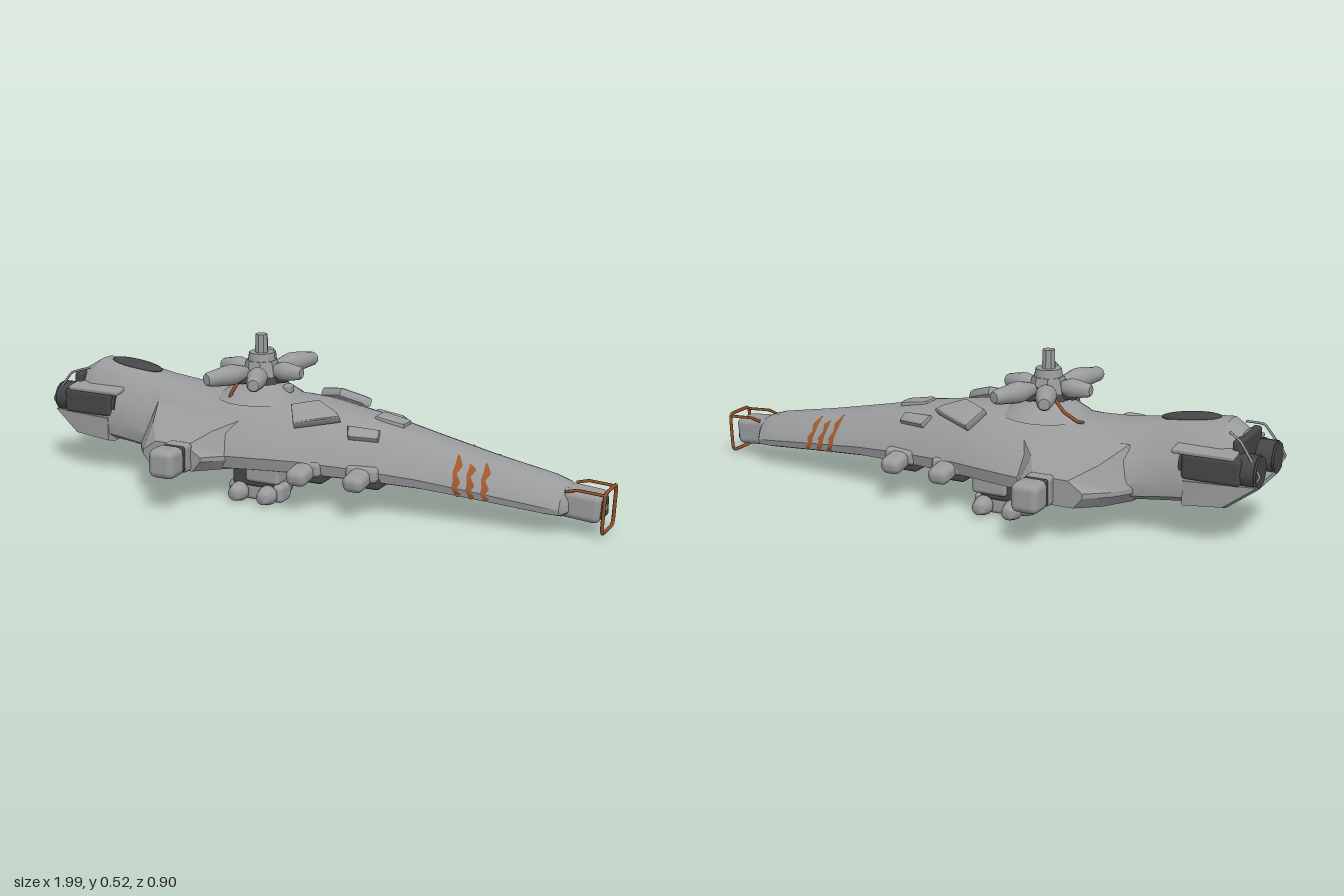
import * as THREE from 'three';
import { toCreasedNormals } from 'three/addons/utils/BufferGeometryUtils.js';
import { RoundedBoxGeometry } from 'three/addons/geometries/RoundedBoxGeometry.js';

const material = (name, color, side = THREE.FrontSide) => {
  const m = new THREE.MeshStandardMaterial({ color, side });
  m.name = name;
  return m;
};
const V = (x, y, z) => new THREE.Vector3(x, y, z);

// Closed skin through rings that run counter-clockwise about the loft direction
function loft(rings, crease = 0.5) {
  const pos = [], put = (...ps) => ps.forEach(p => pos.push(p.x, p.y, p.z));
  const n = rings[0].length;
  for (let i = 0; i < rings.length - 1; i++) for (let j = 0; j < n; j++) {
    const k = (j + 1) % n;
    put(rings[i][j], rings[i][k], rings[i + 1][k], rings[i][j], rings[i + 1][k], rings[i + 1][j]);
  }
  [rings[0], rings[rings.length - 1]].forEach((r, end) => {
    const c = r.reduce((a, p) => a.add(p), V(0, 0, 0)).divideScalar(n);
    for (let j = 0; j < n; j++) {
      const k = (j + 1) % n;
      end ? put(c, r[j], r[k]) : put(c, r[k], r[j]);
    }
  });
  const g = new THREE.BufferGeometry();
  g.setAttribute('position', new THREE.Float32BufferAttribute(pos, 3));
  return toCreasedNormals(g, crease);
}

// Hull stations: x, half width, top, bottom
const stations = [
  [-0.91, 0.125, 0.345, 0.14], [-0.86, 0.145, 0.375, 0.12], [-0.72, 0.15, 0.365, 0.11],
  [-0.6, 0.165, 0.34, 0.1], [-0.5, 0.215, 0.325, 0.085], [-0.4, 0.24, 0.32, 0.085],
  [-0.24, 0.245, 0.325, 0.09], [-0.1, 0.238, 0.325, 0.1], [0, 0.215, 0.322, 0.1],
  [0.2, 0.18, 0.292, 0.1], [0.4, 0.145, 0.25, 0.095], [0.6, 0.118, 0.21, 0.08],
  [0.8, 0.1, 0.175, 0.065], [0.85, 0.086, 0.16, 0.062], [0.87, 0.055, 0.145, 0.07]];
// Half cross-section: fraction of half width, fraction of height
const section = [[0, 1], [0.25, 0.99], [0.47, 0.92], [0.85, 0.6], [1, 0.3], [0.96, 0.12], [0.7, 0.03], [0.35, 0], [0, 0]];

// Point on the hull at x, t steps down the section, on side s
function hullPoint(x, t, s, grow = 1) {
  let i = 0;
  while (i < stations.length - 2 && stations[i + 1][0] < x) i++;
  const a = stations[i], b = stations[i + 1], u = (x - a[0]) / (b[0] - a[0]);
  const [, w, top, low] = a.map((v, k) => v + (b[k] - v) * u);
  const j = Math.min(Math.floor(t), section.length - 2), f = t - j;
  const [p, q] = [0, 1].map(k => section[j][k] + (section[j + 1][k] - section[j][k]) * f);
  const mid = (top + low) / 2;
  return V(x, mid + (low + q * (top - low) - mid) * grow, s * w * p * grow);
}

export function createModel() {
  const model = new THREE.Group();
  const grey = material('hull grey', 0x999b9d);
  const dark = material('engine dark grey', 0x454647);
  const rust = material('rust orange', 0x96522a);
  const paint = material('claw mark orange', 0xa0582c, THREE.DoubleSide);
  const add = (name, geo, mat, x = 0, y = 0, z = 0, parent = model) => {
    const m = new THREE.Mesh(geo, mat);
    m.name = name;
    m.position.set(x, y, z);
    parent.add(m);
    return m;
  };
  const box = (w, h, d, r) => new RoundedBoxGeometry(w, h, d, 3, r);
  const tube = (pts, r, closed = false) =>
    new THREE.TubeGeometry(new THREE.CatmullRomCurve3(pts, closed, 'catmullrom', 0.15), 40, r, 6, closed);

  // Main hull and the broad shoulders through it
  add('hull', loft(stations.map(([x]) => {
    const ring = [];
    for (let j = 0; j < 9; j++) ring.push(hullPoint(x, j, 1));
    for (let j = 7; j > 0; j--) ring.push(hullPoint(x, j, -1));
    return ring;
  })), grey);
  const half = [[0.325, -0.505, -0.288, 0.12, 0.205], [0.24, -0.568, -0.24, 0.11, 0.238], [0.12, -0.62, -0.14, 0.1, 0.28]];
  const spans = [...half.map(([z, ...r]) => [-z, ...r]), ...half.slice().reverse()];
  add('shoulders', loft(spans.map(([z, x0, x1, y0, y1]) => [
    V(x0 + 0.03, y0, z), V(x1 - 0.03, y0, z), V(x1, y0 + 0.035, z), V(x1, y0 + 0.05, z),
    V(x1 - 0.05, y1, z), V(x0 + 0.05, y1, z), V(x0, y0 + 0.05, z), V(x0, y0 + 0.035, z)]), 0.3), grey);

  // Pod lying along +x from r0 to r1, widest part way along and blunt at the tip
  const pod = (r0, r1, w, wide = 0.35) => {
    const profile = [[0, 0], [0.5, 0], [0.62, 0.06], [0.96, wide - 0.05], [1, wide], [0.97, wide + 0.15], [0.68, 0.93], [0.52, 0.99], [0, 1]];
    const g = new THREE.LatheGeometry(profile.map(([r, l]) => new THREE.Vector2(r * w, l * (r1 - r0))), 14);
    return toCreasedNormals(g.rotateZ(-Math.PI / 2).translate(r0, 0, 0), 0.75);
  };
  const cyl = (r0, r1, h, n = 16) => toCreasedNormals(new THREE.CylinderGeometry(r0, r1, h, n), 0.6);

  // Upper array: mound, hub, six pods on dark stems, and mast
  const array = new THREE.Group();
  array.name = 'upperArray';
  array.position.set(-0.235, 0, 0);
  model.add(array);
  add('arrayMound', cyl(0.06, 0.15, 0.06, 20), grey, 0, 0.34, 0, array);
  add('moundSensor', box(0.03, 0.03, 0.034, 0.008), grey, 0.1, 0.345, 0, array);
  add('arrayNeck', cyl(0.06, 0.075, 0.03), dark, 0, 0.372, 0, array);
  add('arrayHub', cyl(0.052, 0.064, 0.05, 8).rotateY(Math.PI / 8), grey, 0, 0.41, 0, array);
  add('mastBase', cyl(0.042, 0.047, 0.03), grey, 0, 0.446, 0, array);
  add('mast', cyl(0.021, 0.023, 0.065, 8), grey, 0, 0.489, 0, array);
  [0, 68, 112, 180, 248, 292].forEach(a => {
    const short = a % 180 === 0, turn = a * Math.PI / 180;
    add('arrayPod', pod(short ? 0.04 : 0.066, short ? 0.152 : 0.236, short ? 0.032 : 0.035), grey, 0, 0.402, 0, array)
      .rotation.y = turn;
    add('podStem', box(0.06, 0.04, 0.036, 0.008).translate(0.07, 0, 0), dark, 0, 0.385, 0, array).rotation.y = turn;
  });

  // Nose sensor and the guard frame around it
  add('noseBlock', box(0.15, 0.094, 0.1, 0.022), grey, 0.895, 0.1, 0).rotation.z = -0.08;
  add('noseSocket', box(0.012, 0.062, 0.066, 0.005), dark, 0.968, 0.094, 0);
  add('noseLens', cyl(0.011, 0.014, 0.02).rotateZ(-Math.PI / 2), grey, 0.967, 0.094, 0);
  const frame = [[0.045, 0.157], [0.057, 0.145], [0.057, 0.038], [0.045, 0.024]];
  const loop = [...frame, ...frame.slice().reverse().map(([z, y]) => [-z, y])];
  add('guardFrame', tube(loop.map(([z, y]) => V(0.98 + y * 0.05, y, z)), 0.006, true), rust);

  // Feed pipes beside the array
  add('arrayPipe', tube([V(-0.39, 0.315, -0.07), V(-0.385, 0.325, -0.1), V(-0.34, 0.352, -0.105), V(-0.295, 0.375, -0.07)], 0.006), rust);
  add('arrayPipe', tube([V(-0.3, 0.305, 0.11), V(-0.29, 0.34, 0.108), V(-0.28, 0.365, 0.09), V(-0.27, 0.378, 0.06)], 0.006), rust);

  for (const s of [1, -1]) {
    add('guardArm', tube([V(0.86, 0.145, s * 0.054), V(0.9, 0.155, s * 0.056), V(0.985, 0.15, s * 0.056)], 0.005), rust);

    // Shoulder thrusters with a dark seam behind the cap
    add('thrusterCollar', box(0.085, 0.095, 0.05, 0.014), grey, -0.365, 0.167, s * 0.333);
    add('thrusterSeam', box(0.08, 0.086, 0.02, 0.008), dark, -0.365, 0.168, s * 0.36);
    add('thruster', box(0.094, 0.096, 0.088, 0.024), grey, -0.365, 0.168, s * 0.407);

    // Underside pod clusters on dark pylons
    const cluster = new THREE.Group();
    cluster.name = 'lowerPodCluster';
    cluster.position.set(-0.165, 0.035, s * 0.155);
    model.add(cluster);
    add('pylon', box(0.15, 0.08, 0.09, 0.01), dark, 0, 0.06, 0, cluster);
    add('clusterBlock', box(0.17, 0.06, 0.072, 0.016), grey, 0.02, 0, 0, cluster);
    add('clusterNose', pod(0.01, 0.105, 0.032, 0.5), grey, 0, 0, 0, cluster).rotation.y = Math.PI;
    for (const x of [-0.045, 0.06]) for (const k of [1, -1])
      add('clusterPod', pod(0.02, 0.094, 0.033, 0.35), grey, x, 0, 0, cluster).rotation.y = k * Math.PI / 2;
    add('hanger', box(0.125, 0.065, 0.074, 0.014), grey, -0.125, 0.105, s * 0.175);

    // Pods under the hull edge
    [[0.03, 0.218], [0.22, 0.194]].forEach(([x, z]) => {
      add('sidePod', box(0.072, 0.056, 0.125, 0.024), grey, x, 0.135, s * z).rotation.x = s * 0.15;
      add('sidePodMount', box(0.12, 0.04, 0.08, 0.012), dark, x, 0.115, s * (z - 0.06));
      add('sidePodFairing', box(0.11, 0.05, 0.05, 0.015), grey, x, 0.145, s * (z - 0.03));
    });

    // Three scratched stripes per side
    [0.52, 0.565, 0.612].forEach((x, n) => {
      const ts = [2 + (n % 2) * 0.3, 2.5, 3, 3.5, 4, 4.6, 5.2 - n * 0.2], pos = [], index = [];
      ts.forEach((t, i) => {
        const w = [0.003, 0.012, 0.007, 0.012, 0.008, 0.011, 0.004][i], c = x + 0.008 * (i % 2) + 0.003 * i - 0.012;
        pos.push(...hullPoint(c - w, t, s, 1.025), ...hullPoint(c + w, t, s, 1.025));
        const a = i * 2;
        if (i) s > 0 ? index.push(a - 2, a, a + 1, a - 2, a + 1, a - 1) : index.push(a - 2, a + 1, a, a - 2, a - 1, a + 1);
      });
      const g = new THREE.BufferGeometry();
      g.setAttribute('position', new THREE.Float32BufferAttribute(pos, 3));
      g.setIndex(index);
      g.computeVertexNormals();
      add('clawMark', g, paint);
    });

    // Tail engines with nozzles, side housings and a grey overhang above
    add('engine', cyl(0.054, 0.054, 0.24).rotateZ(Math.PI / 2), dark, -0.86, 0.242, s * 0.086);
    add('engineHousing', box(0.19, 0.085, 0.06, 0.014), dark, -0.845, 0.244, s * 0.117);
    add('nozzle', cyl(0.05, 0.042, 0.05).rotateZ(Math.PI / 2), dark, -0.962, 0.242, s * 0.085);
    add('engineOverhang', box(0.2, 0.016, 0.07, 0.006), grey, -0.82, 0.294, s * 0.115).rotation.x = s * 0.12;
    add('tailBow', tube([V(-0.88, 0.35, s * 0.07), V(-0.93, 0.335, s * 0.11), V(-0.996, 0.24, s * 0.125), V(-0.96, 0.19, s * 0.12)], 0.004), grey);
  }

  // Tail lip below the engines, dark rear panel and top intake
  add('tailLip', loft([[-0.985, 0.19, 0.205, 0.13], [-0.89, 0.122, 0.205, 0.148], [-0.76, 0.11, 0.2, 0.15]].map(([x, y0, y1, w]) =>
    [V(x, y1, -w), V(x, y1, w), V(x, y0 + 0.012, w), V(x, y0, w * 0.75), V(x, y0, -w * 0.75), V(x, y0 + 0.012, -w)])), grey);
  add('rearPanel', box(0.03, 0.15, 0.2, 0.01), dark, -0.912, 0.26, 0);
  add('topIntake', new THREE.SphereGeometry(1, 20, 10).scale(0.1, 0.014, 0.042), dark, -0.728, 0.363, 0).rotation.z = -0.12;

  // Raised armour plates, corners given as x, z around a centre
  const plate = (pts, x, y, z, tilt, slope, s) => {
    const shape = new THREE.Shape(pts.map(([px, pz]) => new THREE.Vector2(px - x, -s * (pz - z))));
    const g = new THREE.ExtrudeGeometry(shape, { depth: 0.018, bevelThickness: 0.008, bevelSize: 0.01, bevelOffset: -0.006, bevelSegments: 3 });
    const m = add('armourPlate', toCreasedNormals(g.rotateX(-Math.PI / 2), 0.5), grey, x, y, s * z);
    m.rotation.set(s * tilt, 0, -slope);
  };
  for (const s of [1, -1]) {
    plate([[-0.06, 0.1], [-0.025, 0.17], [0.11, 0.115], [0.095, 0.1], [0.02, 0.065]], 0.02, 0.296, 0.115, 0.62, 0.08, s);
    plate([[0.155, 0.13], [0.14, 0.095], [0.24, 0.085], [0.245, 0.115]], 0.195, 0.247, 0.107, 0.65, 0.16, s);
  }
  plate([[0.2, -0.027], [0.215, -0.03], [0.295, -0.025], [0.295, 0.025], [0.215, 0.03], [0.2, 0.027]], 0.25, 0.268, 0, 0, 0.17, 1);
  return model;
}
